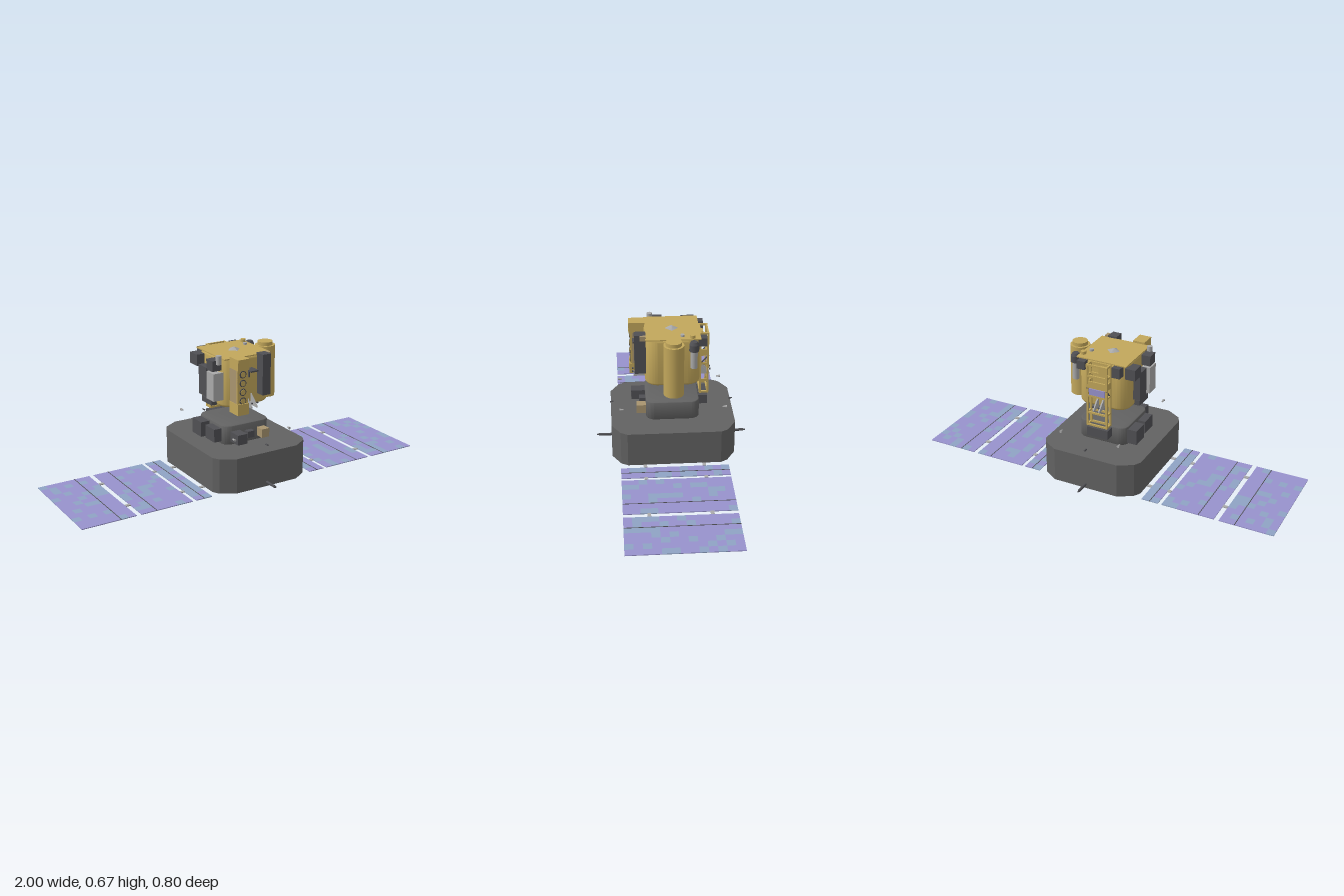
import * as THREE from 'three';
import { mergeGeometries, toCreasedNormals } from 'three/addons/utils/BufferGeometryUtils.js';

const mat = (name, color, side = THREE.FrontSide) => {
  const m = new THREE.MeshStandardMaterial({ color, side });
  m.name = name;
  return m;
};

export function createModel() {
  const gold = mat('gold foil', 0xc2a75b);
  const dark = mat('dark grey blanket', 0x626262);
  const charcoal = mat('charcoal', 0x505054);
  const grey = mat('light grey metal', 0xa9a9a9);
  const tan = mat('tan', 0xa8946f);
  const purple = mat('purple cells', 0x9792cc, THREE.DoubleSide);
  const blue = mat('blue cells', 0x8fa3c4, THREE.DoubleSide);

  const model = new THREE.Group();
  model.name = 'satellite';
  const add = (name, geo, material, x = 0, y = 0, z = 0, parent = model) => {
    const m = new THREE.Mesh(geo, material);
    m.name = name;
    m.position.set(x, y, z);
    parent.add(m);
    return m;
  };
  // box and upright cylinder given by their extents
  const box = (name, material, x0, x1, y0, y1, z0, z1) =>
    add(name, new THREE.BoxGeometry(x1 - x0, y1 - y0, z1 - z0), material, (x0 + x1) / 2, (y0 + y1) / 2, (z0 + z1) / 2);
  const tube = (name, material, x, z, r, y0, y1, rTop = r) =>
    add(name, new THREE.CylinderGeometry(rTop, r, y1 - y0, 28), material, x, (y0 + y1) / 2, z);
  // straight rod between two points
  const rod = (name, material, a, b, r) => {
    const p = new THREE.Vector3(...a), q = new THREE.Vector3(...b);
    const m = add(name, new THREE.CylinderGeometry(r, r, p.distanceTo(q), 8), material);
    m.position.copy(p).add(q).multiplyScalar(0.5);
    m.quaternion.setFromUnitVectors(new THREE.Vector3(0, 1, 0), q.sub(p).normalize());
    return m;
  };
  // upright prism with rounded vertical corners and softened rims
  const roundedPrism = (half, r, y0, y1, bevel) => {
    const h = half - bevel, s = new THREE.Shape();
    s.moveTo(-h + r, -h);
    s.lineTo(h - r, -h); s.absarc(h - r, -h + r, r, -Math.PI / 2, 0);
    s.lineTo(h, h - r); s.absarc(h - r, h - r, r, 0, Math.PI / 2);
    s.lineTo(-h + r, h); s.absarc(-h + r, h - r, r, Math.PI / 2, Math.PI);
    s.lineTo(-h, -h + r); s.absarc(-h + r, -h + r, r, Math.PI, Math.PI * 1.5);
    const g = new THREE.ExtrudeGeometry(s, {
      depth: y1 - y0 - 2 * bevel, bevelThickness: bevel, bevelSize: bevel, bevelSegments: 4, curveSegments: 8,
    });
    g.translate(0, 0, y0 + bevel).rotateX(-Math.PI / 2);
    return toCreasedNormals(g, 0.7);
  };

  // main bus with cut corners
  const bus = new THREE.Shape([
    [0.275, -0.24], [0.275, 0.24], [0.255, 0.275], [0.18, 0.32], [-0.18, 0.32], [-0.255, 0.275],
    [-0.275, 0.24], [-0.275, -0.24], [-0.255, -0.275], [-0.18, -0.32], [0.18, -0.32], [0.255, -0.275],
  ].map(([x, y]) => new THREE.Vector2(x, y)));
  add('bus', new THREE.ExtrudeGeometry(bus, { depth: 0.185, bevelEnabled: false }).rotateX(-Math.PI / 2), dark, 0, 0.005, 0);

  // equipment module on the bus with its boxes
  add('lowerModule', roundedPrism(0.138, 0.04, 0.19, 0.291, 0.006), dark);
  box('frontUnit', charcoal, -0.105, -0.05, 0.21, 0.263, 0.13, 0.21);
  box('frontUnit', charcoal, -0.02, 0.02, 0.22, 0.255, 0.13, 0.17);
  box('frontTanUnit', tan, 0.055, 0.1, 0.212, 0.258, 0.13, 0.187);
  box('backUnit', charcoal, -0.06, 0.06, 0.235, 0.285, -0.185, -0.13);
  box('sideUnit', charcoal, -0.188, -0.13, 0.2, 0.28, -0.11, -0.02);
  box('sideUnit', charcoal, -0.18, -0.13, 0.205, 0.275, 0.01, 0.1);

  // gold payload body
  add('payloadBody', roundedPrism(0.14, 0.05, 0.39, 0.648, 0.015), gold);
  box('payloadRoof', gold, -0.14, 0.138, 0.645, 0.651, -0.142, 0.138);
  box('payloadFloor', grey, -0.1, 0.1, 0.385, 0.391, -0.1, 0.1);
  const cross = add('roofFitting', new THREE.CylinderGeometry(0.008, 0.035, 0.012, 4), grey, 0, 0.657, 0);
  cross.geometry.computeVertexNormals();

  // tall side tank
  tube('sideTank', gold, 0.193, 0, 0.052, 0.375, 0.65);
  tube('tankCap', gold, 0.193, 0, 0.04, 0.65, 0.669);

  // grey canister with dark hood
  tube('canister', grey, 0.163, -0.104, 0.018, 0.505, 0.6);
  tube('canisterHood', charcoal, 0.163, -0.104, 0.025, 0.6, 0.635);
  tube('canisterHoodTop', charcoal, 0.163, -0.104, 0.025, 0.635, 0.65, 0.017);

  // small roof-edge fittings
  tube('roofPost', grey, -0.155, 0.105, 0.014, 0.62, 0.666);
  tube('roofPost', gold, 0.12, -0.1, 0.014, 0.65, 0.667);
  tube('roofPost', grey, 0.1, -0.05, 0.011, 0.65, 0.661);

  // front sensor column with a row of apertures
  box('columnBack', tan, -0.108, -0.048, 0.42, 0.62, 0.135, 0.208);
  box('columnFace', gold, -0.108, -0.048, 0.42, 0.62, 0.2, 0.21);
  box('columnTop', gold, -0.11, -0.045, 0.605, 0.662, 0.135, 0.218);
  box('columnFoot', gold, -0.11, -0.045, 0.371, 0.43, 0.135, 0.217);
  for (let i = 0; i < 4; i++) {
    const lens = tube('aperture', charcoal, -0.078, 0.21, 0.019, 0, 0.006);
    lens.rotation.x = Math.PI / 2;
    lens.position.y = 0.445 + i * 0.046;
    const inner = tube('apertureCore', gold, -0.078, 0.2135, 0.014, 0, 0.003);
    inner.rotation.x = Math.PI / 2;
    inner.position.y = lens.position.y;
  }

  // front radiator box
  box('frontRadiator', charcoal, 0.052, 0.1, 0.445, 0.66, 0.135, 0.193);
  box('radiatorTab', tan, 0.102, 0.118, 0.637, 0.661, 0.135, 0.166);

  // front T-shaped probe
  box('probeStem', charcoal, -0.004, 0.004, 0.54, 0.585, 0.138, 0.15);
  box('probeBar', charcoal, -0.022, 0.022, 0.58, 0.588, 0.138, 0.2);

  // triangular brackets, front and back, with small tips
  const gusset = new THREE.Shape([[0.13, 0.455], [0.13, 0.39], [0.198, 0.39], [0.198, 0.396], [0.14, 0.45]]
    .map(([a, b]) => new THREE.Vector2(a, b)));
  const gussetGeo = new THREE.ExtrudeGeometry(gusset, { depth: 0.008, bevelEnabled: false }).translate(0, 0, -0.004);
  for (const s of [1, -1]) for (const x of [-0.016, 0.016]) {
    add('bracket', gussetGeo, grey, x, 0, 0).rotation.y = -s * Math.PI / 2;
    box('bracketTip', charcoal, x - 0.004, x + 0.004, 0.414, 0.42, s * 0.2 - 0.004, s * 0.2 + 0.004);
  }

  // boxes on the right side of the payload
  box('sideRadiator', grey, -0.188, -0.13, 0.43, 0.575, 0.04, 0.11);
  box('sideBattery', charcoal, -0.178, -0.13, 0.43, 0.585, -0.055, 0.02);
  box('sideTopUnit', charcoal, -0.188, -0.13, 0.585, 0.64, 0.04, 0.1);
  box('sideTopUnit', charcoal, -0.185, -0.13, 0.575, 0.635, -0.13, -0.06);
  box('sideFootUnit', charcoal, -0.17, -0.12, 0.392, 0.42, -0.04, 0.06);

  // gold ladder frame on the back
  const [zi, zo] = [-0.146, -0.185];
  for (const x of [-0.054, 0.054]) {
    for (const z of [zi, zo]) box('ladderRail', gold, x - 0.005, x + 0.005, 0.298, 0.645, z - 0.005, z + 0.005);
    for (const y of [0.303, 0.373, 0.47, 0.58, 0.64])
      box('ladderTie', gold, x - 0.004, x + 0.004, y - 0.005, y + 0.005, zo, zi);
    box('ladderCheek', gold, x - 0.004, x + 0.004, 0.515, 0.55, zo, zi);
    rod('ladderBrace', charcoal, [x, 0.47, zi], [x, 0.515, zo - 0.005], 0.004);
  }
  for (const y of [0.303, 0.373, 0.47, 0.58, 0.64]) for (const z of [zi, zo])
    box('ladderRung', gold, -0.054, 0.054, y - 0.005, y + 0.005, z - 0.004, z + 0.004);
  box('ladderPanel', purple, -0.045, 0.045, 0.475, 0.51, -0.188, -0.182);
  box('ladderShelf', gold, -0.054, 0.054, 0.513, 0.55, -0.186, -0.178);
  box('ladderUnit', gold, -0.04, 0.0, 0.58, 0.625, -0.165, -0.135);
  box('backUnitUpper', charcoal, 0.075, 0.12, 0.6, 0.645, -0.175, -0.13);
  box('backUnitUpper', charcoal, -0.12, -0.075, 0.59, 0.645, -0.17, -0.13);

  for (const s of [1, -1]) {
    // end thrust rods and bus-edge nozzles
    rod('endRod', charcoal, [0, 0.027, s * 0.31], [0, 0.027, s * 0.39], 0.007);
    rod('endRodTip', charcoal, [0, 0.027, s * 0.388], [0, 0.027, s * 0.4], 0.004);
    rod('endNozzle', charcoal, [0, 0.229, s * 0.305], [0, 0.229, s * 0.325], 0.004);
    for (const x of [-0.165, 0.165]) {
      const n = add('cornerNozzle', new THREE.CylinderGeometry(0.003, 0.007, 0.022, 12), grey, x, 0.273, s * 0.266);
      n.rotation.x = -s * Math.PI / 2;
    }
  }

  // solar wings: a mosaic of thin cells in two colours
  let seed = 11;
  const random = () => (seed = (seed * 16807) % 2147483647) / 2147483647;
  const rows = 13, dz = 0.556 / rows;
  for (const s of [-1, 1]) {
    for (const [x0, x1, cols, seams] of [[0.3, 0.39, 2, [0.345]], [0.41, 0.692, 7, [0.61]], [0.718, 1, 7, [0.8]]]) {
      const cells = [[], []], dx = (x1 - x0) / cols;
      for (let i = 0; i < cols; i++) for (let j = 0; j < rows; j++) {
        const g = new THREE.BoxGeometry(dx, 0.004, dz);
        g.translate(s * (x0 + (i + 0.5) * dx), 0.002, -0.278 + (j + 0.5) * dz);
        cells[random() < (cols === 2 ? 0.5 : 0.27) ? 1 : 0].push(g);
      }
      add('solarPanel', mergeGeometries(cells[0]), purple);
      add('solarPanelLightCells', mergeGeometries(cells[1]), blue);
      for (const x of seams) box('panelSeam', charcoal, s * x - 0.002, s * x + 0.002, 0.001, 0.005, -0.278, 0.278);
    }
    // yoke bars joining the panels
    for (const z of [-0.152, 0.152]) for (const [a, b] of [[0.26, 0.3], [0.39, 0.41], [0.692, 0.718]]) {
      const [p, q] = [s * a, s * b].sort((m, n) => m - n);
      box('panelHinge', grey, p, q, 0.001, 0.006, z - 0.009, z + 0.009);
    }
  }
  return model;
}
